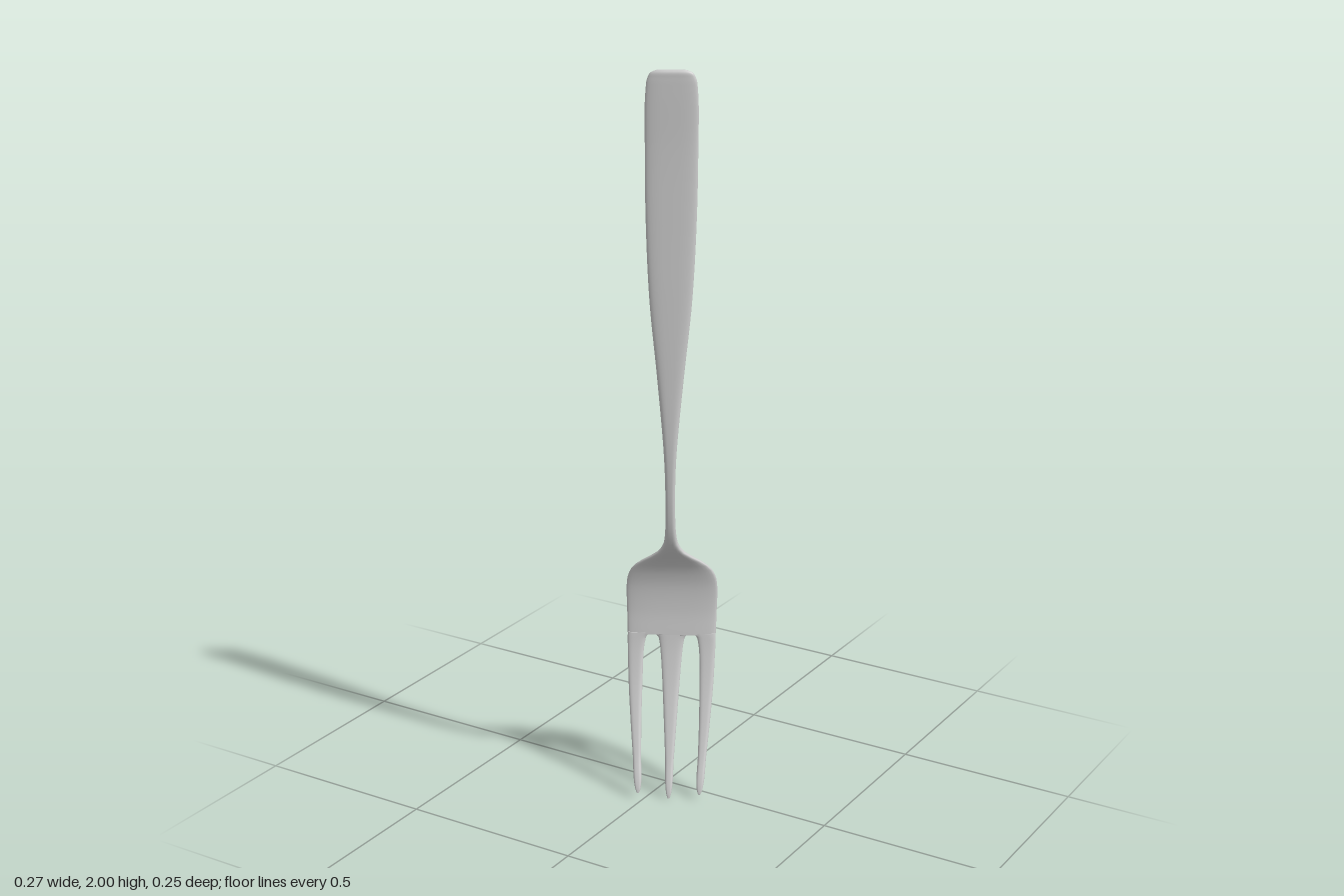
import * as THREE from 'three';

const SIDES = 32;

// Lofts rounded-rectangle sections along y.
// Each row: [y, centre x, half width, centre z, half thickness], y rising.
function loft(name, rows, steps, material) {
  const track = new THREE.CubicInterpolant(rows.map(r => r[0]), rows.flatMap(r => r.slice(1)), 4);
  const y0 = rows[0][0], y1 = rows[rows.length - 1][0];
  const pos = [], index = [];
  for (let i = 0; i <= steps; i++) {
    // rings bunch up towards both ends
    const t = (1 - Math.cos(Math.PI * i / steps)) / 2;
    const y = y0 + (y1 - y0) * t;
    const [cx, hw, cz, ht] = track.evaluate(y);
    for (let j = 0; j < SIDES; j++) {
      const a = (j / SIDES) * Math.PI * 2;
      const round = v => Math.sign(v) * Math.pow(Math.abs(v), 0.65);
      pos.push(cx + hw * round(Math.cos(a)), y, cz + ht * round(Math.sin(a)));
    }
  }
  for (let i = 0; i < steps; i++) {
    for (let j = 0; j < SIDES; j++) {
      const a = i * SIDES + j, b = i * SIDES + (j + 1) % SIDES;
      index.push(a, a + SIDES, b, b, a + SIDES, b + SIDES);
    }
  }
  // end caps
  const bottom = pos.length / 3, top = bottom + 1, last = steps * SIDES;
  const first = rows[0], end = rows[rows.length - 1];
  pos.push(first[1], y0, first[3], end[1], y1, end[3]);
  for (let j = 0; j < SIDES; j++) {
    const k = (j + 1) % SIDES;
    index.push(bottom, j, k, top, last + k, last + j);
  }
  const geometry = new THREE.BufferGeometry();
  geometry.setAttribute('position', new THREE.Float32BufferAttribute(pos, 3));
  geometry.setIndex(index);
  geometry.computeVertexNormals();
  const mesh = new THREE.Mesh(geometry, material);
  mesh.name = name;
  return mesh;
}

export function createModel() {
  const material = new THREE.MeshStandardMaterial({ color: 0xcccccc });
  const fork = new THREE.Group();
  fork.name = 'fork';

  // Handle, neck and palm as one continuous sweep: [y, half width, z, half thickness]
  const body = [
    [0.43, 0.122, -0.049, 0.009],
    [0.50, 0.124, -0.059, 0.009],
    [0.57, 0.125, -0.061, 0.009],
    [0.60, 0.121, -0.058, 0.010],
    [0.63, 0.106, -0.051, 0.011],
    [0.655, 0.077, -0.040, 0.013],
    [0.68, 0.042, -0.024, 0.015],
    [0.71, 0.022, -0.006, 0.017],
    [0.75, 0.015, 0.010, 0.016],
    [0.82, 0.013, 0.022, 0.015],
    [0.92, 0.014, 0.027, 0.015],
    [1.00, 0.018, 0.027, 0.015],
    [1.20, 0.036, 0.017, 0.014],
    [1.40, 0.056, 0.003, 0.013],
    [1.60, 0.066, -0.013, 0.012],
    [1.80, 0.069, -0.028, 0.011],
    [1.95, 0.067, -0.035, 0.010],
    [1.98, 0.062, -0.036, 0.009],
    [1.995, 0.051, -0.036, 0.007],
    [2.00, 0.038, -0.036, 0.003],
  ].map(([y, w, z, t]) => [y, 0, w, z, t]);
  fork.add(loft('handleAndPalm', body, 110, material));

  // Tines: [y, z, half thickness, middle half width, outer tine inner edge, outer edge]
  const tine = [
    [0.000, 0.101, 0.003, 0.003, 0.082, 0.088],
    [0.012, 0.095, 0.007, 0.007, 0.078, 0.093],
    [0.10, 0.057, 0.010, 0.012, 0.079, 0.102],
    [0.20, 0.018, 0.011, 0.018, 0.080, 0.111],
    [0.30, -0.016, 0.010, 0.024, 0.079, 0.118],
    [0.38, -0.038, 0.009, 0.030, 0.077, 0.121],
    [0.41, -0.045, 0.009, 0.034, 0.073, 0.122],
    [0.425, -0.048, 0.009, 0.039, 0.068, 0.122],
    [0.435, -0.050, 0.009, 0.053, 0.055, 0.122],
  ];
  fork.add(loft('middleTine', tine.map(([y, z, t, m]) => [y, 0, m, z, t]), 40, material));
  for (const side of [-1, 1]) {
    const rows = tine.map(([y, z, t, , a, b]) =>
      [y + 0.014 * (1 - y / 0.435), side * (a + b) / 2, (b - a) / 2, z, t]);
    fork.add(loft(side > 0 ? 'leftTine' : 'rightTine', rows, 40, material));
  }

  // Turned about the vertical, nudged to centre
  fork.rotation.y = 0.49;
  fork.position.set(0.01, 0, -0.005);
  const model = new THREE.Group();
  model.add(fork);
  return model;
}
